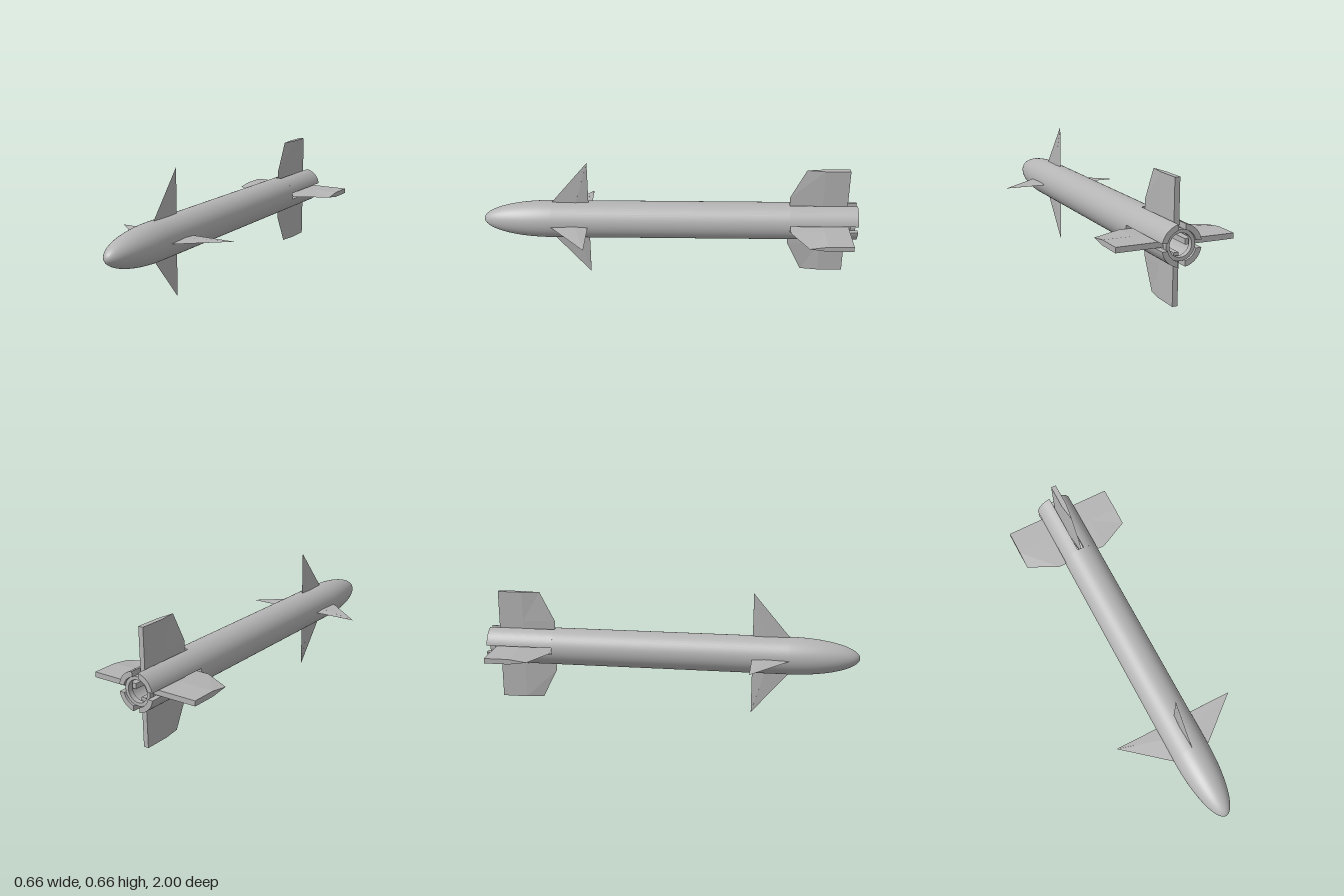
import * as THREE from 'three';

const R = 0.1;          // body radius
const AXIS_Y = 0.335;   // height of the body axis
const SLOT_Z = -0.64;   // front end of the tail slots
const SLOT_HALF = 0.018;

// Flat-faced solid through convex rings of [x, y, z], lowest ring first
function loft(rings) {
  const pos = [];
  const tri = (a, b, c) => pos.push(...a, ...b, ...c);
  const n = rings[0].length;
  for (let k = 0; k < rings.length - 1; k++) {
    const lo = rings[k], hi = rings[k + 1];
    for (let i = 0; i < n; i++) {
      const j = (i + 1) % n;
      tri(lo[i], lo[j], hi[j]);
      tri(lo[i], hi[j], hi[i]);
    }
  }
  const bottom = rings[0], top = rings[rings.length - 1];
  for (let i = 1; i < n - 1; i++) {
    tri(top[0], top[i], top[i + 1]);
    tri(bottom[0], bottom[i + 1], bottom[i]);
  }
  const geo = new THREE.BufferGeometry();
  geo.setAttribute('position', new THREE.Float32BufferAttribute(pos, 3));
  geo.computeVertexNormals();
  return geo;
}

// Forward fin: thin diamond section tapering to a point
function frontFinGeometry() {
  const ring = (y, lead, half) => {
    const trail = 0.435;
    const mid = trail + (lead - trail) * 0.35;
    return [[0, y, lead], [half, y, mid], [0, y, trail], [-half, y, mid]];
  };
  return loft([ring(0.08, 0.648, 0.005), ring(0.332, 0.436, 0.0003)]);
}

// Tail fin: sharp leading edge, blunt trailing edge, clipped outer corner
function tailFinGeometry() {
  const h = 0.0135, shoulder = -0.815, trail = -0.947;
  const ring = (y, lead) => [
    [0, y, lead], [h, y, shoulder], [h, y, trail], [-h, y, trail], [-h, y, shoulder],
  ];
  return loft([ring(0.045, SLOT_Z), ring(0.14, SLOT_Z), ring(0.3, -0.72)]);
}

// Quarter of the slotted tail wall
function tailWallGeometry() {
  const inner = 0.073;
  const a = Math.asin(SLOT_HALF / R), b = Math.asin(SLOT_HALF / inner);
  const s = new THREE.Shape();
  s.absarc(0, 0, R, a, Math.PI / 2 - a, false);
  s.absarc(0, 0, inner, Math.PI / 2 - b, b, true);
  s.closePath();
  const geo = new THREE.ExtrudeGeometry(s, {
    depth: SLOT_Z + 1, bevelEnabled: false, curveSegments: 20,
  });
  return geo.translate(0, 0, -1);
}

export function createModel() {
  const group = new THREE.Group();
  const grey = new THREE.MeshStandardMaterial({ color: 0xb4b4b4 });
  grey.name = 'bodyGrey';

  const add = (name, geo, angle = 0) => {
    const mesh = new THREE.Mesh(geo, grey);
    mesh.name = name;
    mesh.position.y = AXIS_Y;
    mesh.rotation.z = angle;
    group.add(mesh);
  };

  // Cylinder and elliptical nose in one smooth profile
  const profile = [new THREE.Vector2(R, SLOT_Z)];
  const noseStart = 0.63, steps = 28;
  for (let i = 0; i <= steps; i++) {
    const t = (i / steps) * Math.PI / 2;
    profile.push(new THREE.Vector2(
      i === steps ? 0 : R * Math.cos(t), noseStart + (1 - noseStart) * Math.sin(t)));
  }
  add('body', new THREE.LatheGeometry(profile, 64).rotateX(Math.PI / 2));

  // Bulkhead at the front of the tail cavity
  add('bulkhead', new THREE.CircleGeometry(R, 64).rotateY(Math.PI).translate(0, 0, SLOT_Z));

  // Exhaust ring inside the slotted tail
  const ring = new THREE.Shape();
  ring.absarc(0, 0, 0.073, 0, Math.PI * 2, false);
  const hole = new THREE.Path();
  hole.absarc(0, 0, 0.056, 0, Math.PI * 2, true);
  ring.holes.push(hole);
  add('exhaustRing', new THREE.ExtrudeGeometry(ring, {
    depth: 0.027, bevelEnabled: false, curveSegments: 32,
  }).translate(0, 0, -0.987));

  // Four-fold parts
  const frontFin = frontFinGeometry(), tailFin = tailFinGeometry(), wall = tailWallGeometry();
  for (let i = 0; i < 4; i++) {
    const angle = i * Math.PI / 2;
    add('frontFin', frontFin, angle);
    add('tailFin', tailFin, angle);
    add('tailWall', wall, angle);
  }
  return group;
}
